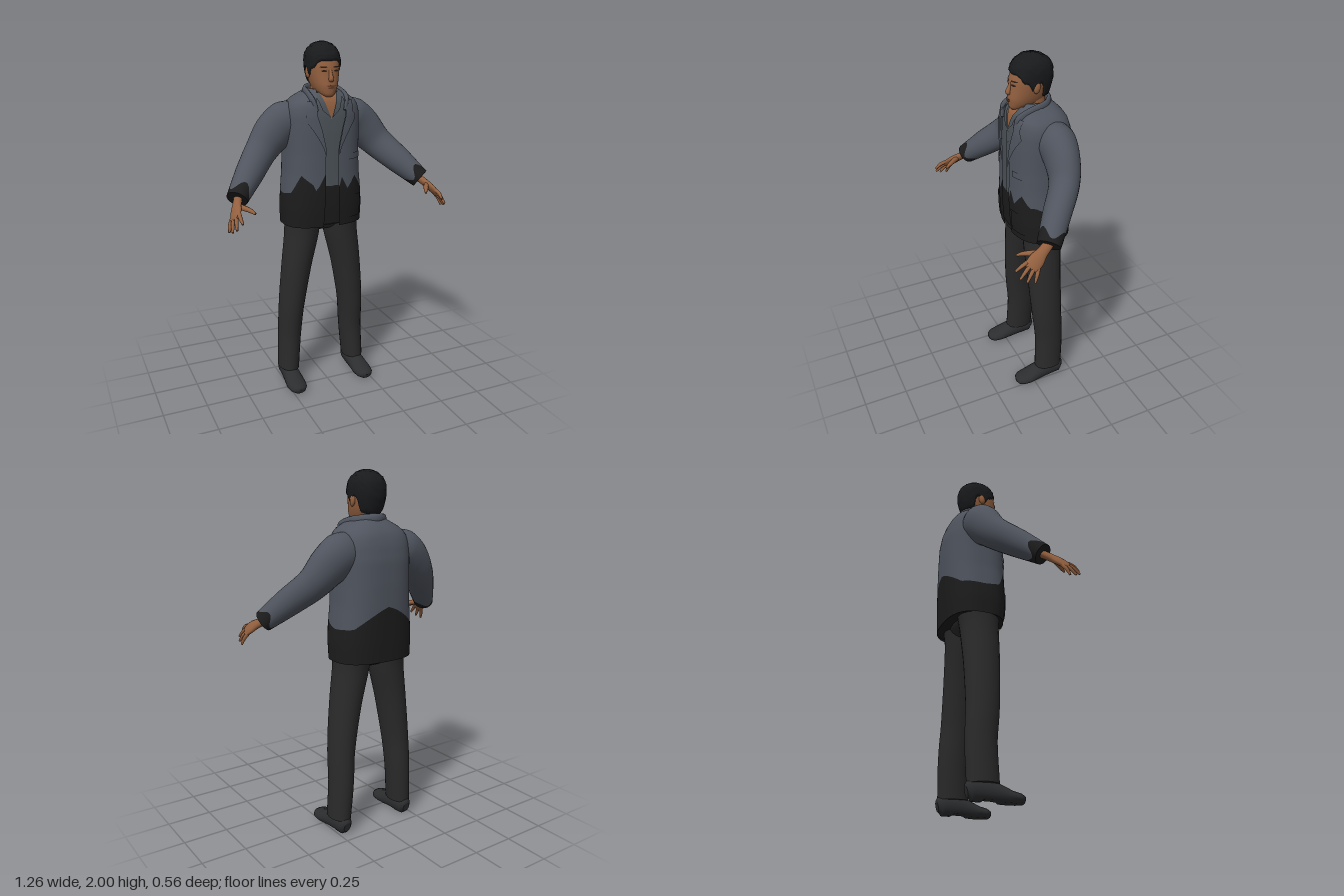
import * as THREE from 'three';

const mat = (name, color, side = THREE.FrontSide) => {
  const m = new THREE.MeshStandardMaterial({ color, side });
  m.name = name;
  return m;
};
const V = (x, y, z) => new THREE.Vector3(x, y, z);

// Piecewise linear lookup in rows [key, value, value...]
function at(rows, k) {
  if (k <= rows[0][0]) return rows[0].slice(1);
  for (let i = 1; i < rows.length; i++) {
    if (k <= rows[i][0]) {
      const t = (k - rows[i - 1][0]) / (rows[i][0] - rows[i - 1][0]);
      return rows[i].slice(1).map((b, c) => THREE.MathUtils.lerp(rows[i - 1][c + 1], b, t));
    }
  }
  return rows[rows.length - 1].slice(1);
}

// Surface through fn(u, row); columns run around, rows run along
function grid(fn, nu, rows, closed) {
  const pos = [], idx = [], n = closed ? nu : nu + 1;
  for (let j = 0; j < rows; j++) for (let i = 0; i < n; i++) pos.push(...fn(i / nu, j).toArray());
  for (let j = 0; j < rows - 1; j++) for (let i = 0; i < nu; i++) {
    const a = j * n + i, b = j * n + (i + 1) % n;
    idx.push(a, b, a + n, b, b + n, a + n);
  }
  const g = new THREE.BufferGeometry();
  g.setAttribute('position', new THREE.Float32BufferAttribute(pos, 3));
  g.setIndex(idx);
  g.computeVertexNormals();
  return g;
}

// Limb along points [x, y, z, r1, r2]; r1 lies along the wide axis
function tube(pts, wide, { nu = 16, nv = 16, v0 = () => 0, v1 = () => 1, start = true, end = true } = {}) {
  const curve = new THREE.CatmullRomCurve3(pts.map(p => V(p[0], p[1], p[2])));
  const radii = pts.map((p, i) => [i / (pts.length - 1), p[3], p[4]]);
  const list = [];
  if (start) list.push([0, 0], [0, 1]);
  for (let j = 0; j <= nv; j++) list.push([j / nv, 1]);
  if (end) list.push([1, 1], [1, 0]);
  return grid((u, j) => {
    const t = THREE.MathUtils.lerp(v0(u), v1(u), list[j][0]), k = list[j][1];
    const T = curve.getTangent(t), n1 = wide.clone().addScaledVector(T, -wide.dot(T)).normalize();
    const n2 = T.clone().cross(n1), [r1, r2] = at(radii, t), a = u * Math.PI * 2;
    return curve.getPoint(t).addScaledVector(n1, k * r1 * Math.cos(a)).addScaledVector(n2, k * r2 * Math.sin(a));
  }, nu, list.length, true);
}

function mirrored(g) {
  const m = g.clone().scale(-1, 1, 1), ix = m.index.array;
  for (let i = 0; i < ix.length; i += 3) [ix[i], ix[i + 1]] = [ix[i + 1], ix[i]];
  m.computeVertexNormals();
  return m;
}

// Body sections: height, half width, front z, back z
const TORSO = [[1.0, .232, .058, -.27], [1.1, .234, .068, -.275], [1.2, .226, .072, -.278], [1.3, .216, .07, -.28],
  [1.42, .212, .069, -.28], [1.54, .214, .068, -.276], [1.62, .212, .064, -.262], [1.67, .2, .056, -.245],
  [1.7, .175, .047, -.225], [1.73, .12, .025, -.195], [1.755, .075, -.01, -.165]];
const HEAD = [[1.713, .004, .02, -.01], [1.718, .024, .038, -.03], [1.73, .042, .046, -.085], [1.75, .057, .049, -.125],
  [1.775, .067, .052, -.148], [1.8, .074, .049, -.162], [1.835, .081, .044, -.172], [1.87, .085, .042, -.178],
  [1.9, .085, .034, -.178], [1.93, .081, .024, -.172], [1.955, .069, .006, -.155], [1.975, .047, -.022, -.125],
  [1.985, .022, -.05, -.095], [1.988, .001, -.07, -.072]];
const spow = (v, p) => Math.sign(v) * Math.abs(v) ** p;
function section(table, n, th, y) {
  const [a, f, b] = at(table, y);
  return V(a * spow(Math.sin(th), 2 / n), y, (f + b) / 2 + (f - b) / 2 * spow(Math.cos(th), 2 / n));
}
// Thin panel lying on the front of a body section
function panel(table, n, lo, hi, xl, xr, off, nu = 8, nv = 12) {
  return grid((u, j) => {
    const y = THREE.MathUtils.lerp(lo, hi, j / nv), x = THREE.MathUtils.lerp(xl(y), xr(y), u);
    const [a, f, b] = at(table, y), r = Math.min(1, Math.abs(x / a));
    return V(x, y, (f + b) / 2 + (f - b) / 2 * (1 - r ** n) ** (1 / n) + off);
  }, nu, nv + 1, false);
}

export function createModel() {
  const root = new THREE.Group();
  root.name = 'standingMan';
  const D = THREE.DoubleSide;
  const grey = mat('jacket grey', 0x4f545e, D), black = mat('jacket black', 0x1c1c1d, D);
  const shirt = mat('shirt grey', 0x4c5359, D), trouser = mat('trouser charcoal', 0x2a2a2b);
  const shoe = mat('shoe charcoal', 0x2c2d2f), skin = mat('skin', 0x93603f, D);
  const hairMat = mat('hair black', 0x191a1c, D), dark = mat('eye brown', 0x2a1b14, D), lip = mat('lip brown', 0x6b3d2d, D);
  const add = (name, g, m) => {
    const o = new THREE.Mesh(g, m);
    o.name = name;
    root.add(o);
    return o;
  };
  const pair = (name, g, m) => {
    add('left' + name, g, m);
    add('right' + name, mirrored(g), m);
  };

  // Open jacket, split along a jagged colour line
  const N = 2.6, gap = [[1, .046], [1.24, .038], [1.45, .038], [1.55, .06], [1.63, .085], [1.7, .08], [1.755, .055]];
  const th0 = y => Math.asin(Math.min(1, (at(gap, y)[0] / at(TORSO, y)[0]) ** (N / 2)));
  const jagL = [[.03, 1.21], [.06, 1.29], [.1, 1.21], [.2, 1.28], [.29, 1.22], [.36, 1.22], [.5, 1.18], [.72, 1.19], [1, 1.3]];
  const jagR = [[.03, 1.31], [.1, 1.21], [.13, 1.25], [.25, 1.3], [.36, 1.2], [.5, 1.18], [.72, 1.19], [1, 1.3]];
  const jag = u => {
    const t = th0(1.25), s = (t + (2 * Math.PI - 2 * t) * u) / Math.PI;
    return at(s < 1 ? jagL : jagR, s < 1 ? s : 2 - s)[0];
  };
  const jacket = (lo, hi, nv) => grid((u, j) => {
    const y = THREE.MathUtils.lerp(lo(u), hi(u), j / nv), t = th0(y);
    return section(TORSO, N, t + (2 * Math.PI - 2 * t) * u, y);
  }, 80, nv + 1, false);
  add('jacketUpper', jacket(jag, () => 1.755, 24), grey);
  add('jacketLower', jacket(() => 1, jag, 8), black);
  add('jacketLining', grid((u, j) => {
    const p = section(TORSO, N, u * Math.PI * 2, 1.012);
    return j ? p.setX(p.x * .99) : V(0, 1.012, -.1);
  }, 40, 2, true), black);

  // Lapels, pocket flaps and rolled collar
  const edge = y => at(gap, y)[0];
  const lapel = [[1.4, 0], [1.5, .03], [1.6, .07], [1.63, .055], [1.635, .045], [1.69, .05]];
  pair('Lapel', panel(TORSO, N, 1.4, 1.7, edge, y => edge(y) + at(lapel, y)[0], .008, 6, 24), grey);
  pair('ChestPocketFlap', panel(TORSO, N, 1.375, 1.41, () => .08, () => .185, .006, 8, 2), grey);
  pair('HipPocket', panel(TORSO, N, 1.04, 1.17, () => .07, () => .19, .006, 8, 4), black);
  add('jacketCollar', tube([[.085, 1.645, .05, .014, .01], [.1, 1.7, .03, .025, .012], [.1, 1.728, -.035, .026, .013],
    [.08, 1.745, -.125, .026, .013], [0, 1.752, -.172, .026, .013], [-.08, 1.745, -.125, .026, .013],
    [-.1, 1.728, -.035, .026, .013], [-.1, 1.7, .03, .025, .012], [-.085, 1.645, .05, .014, .01]],
  V(0, 1, .1), { nu: 10, nv: 40 }), grey);

  // Shirt with open neck, collar points and button strip
  const k = c => () => c;
  add('shirtLower', panel(TORSO, N, 1.012, 1.235, k(-.12), k(.12), -.014), black);
  add('shirtUpper', panel(TORSO, N, 1.235, 1.74, k(-.115), k(.115), -.014, 14, 24), shirt);
  add('buttonStrip', panel(TORSO, N, 1.235, 1.6, k(-.012), k(.012), -.009, 2), shirt);
  const vee = y => Math.max(0, (y - 1.6) * .36);
  add('openNeck', panel(TORSO, N, 1.6, 1.75, y => -vee(y), vee, -.01), skin);
  pair('ShirtCollar', panel(TORSO, N, 1.61, 1.74, vee, y => vee(y) + Math.min(.032, (y - 1.61) * .8), -.004), shirt);

  // Sleeves with jagged dark cuffs
  const sleeve = [[.1, 1.6, -.11, .085, .09], [.2, 1.575, -.125, .115, .1], [.275, 1.515, -.12, .11, .088],
    [.35, 1.432, -.095, .09, .077], [.455, 1.325, 0, .076, .072], [.548, 1.228, .088, .056, .062]];
  const cuff = u => .94 + .035 * Math.sin(u * Math.PI * 6 + 1);
  const across = V(.77, .63, 0);
  pair('Sleeve', tube(sleeve, across, { nu: 28, nv: 28, v1: cuff, end: false }), grey);
  pair('Cuff', tube(sleeve, across, { nu: 28, nv: 3, v0: cuff, start: false }), black);

  // Hands
  const wide = V(.05, -.065, -.095).normalize();
  pair('Palm', tube([[.54, 1.235, .08, .026, .021], [.562, 1.208, .13, .03, .02], [.578, 1.187, .165, .041, .018],
    [.592, 1.163, .2, .041, .013], [.597, 1.155, .21, .03, .007]], wide, { nu: 14, nv: 12 }), skin);
  const tips = [['IndexFinger', -.033, .577, 1.15, .28], ['MiddleFinger', -.011, .605, 1.118, .268],
    ['RingFinger', .011, .62, 1.1, .238], ['LittleFinger', .032, .626, 1.09, .198]];
  for (const [name, s, x, y, z] of tips) {
    const b = V(.589, 1.168, .193).addScaledVector(wide, s), m = b.clone().lerp(V(x, y, z), .5);
    pair(name, tube([[b.x, b.y, b.z, .011, .011], [m.x + .003, m.y + .005, m.z, .0105, .0105],
      [x, y, z, .006, .006]], wide, { nu: 8, nv: 6 }), skin);
  }
  pair('Thumb', tube([[.562, 1.207, .14, .016, .016], [.53, 1.2, .185, .014, .014], [.511, 1.193, .215, .011, .011],
    [.498, 1.183, .238, .006, .006]], wide, { nu: 8, nv: 9 }), skin);

  // Trousers
  pair('TrouserLeg', tube([[.112, 1.05, -.1, .103, .12], [.12, .95, -.096, .1, .109], [.155, .75, -.095, .086, .1],
    [.19, .48, -.102, .073, .09], [.2, .3, -.114, .067, .085], [.213, .085, -.108, .061, .085]],
  V(1, 0, 0), { nu: 22, nv: 25 }), trouser);
  add('trouserSeat', new THREE.SphereGeometry(1, 28, 16).scale(.19, .09, .112).translate(0, 1.035, -.098), trouser);

  // Shoes, flattened at the ground
  const shoeGeo = tube([[.213, .045, -.195, .022, .03], [.213, .05, -.175, .042, .054], [.213, .052, -.1, .048, .06],
    [.215, .042, -.03, .053, .05], [.217, .03, .03, .058, .036], [.217, .026, .075, .052, .03],
    [.217, .022, .1, .034, .022], [.217, .02, .109, .012, .012]], V(1, 0, 0), { nu: 20, nv: 28 });
  const sp = shoeGeo.attributes.position;
  for (let i = 0; i < sp.count; i++) sp.setY(i, Math.max(sp.getY(i), Math.abs(sp.getZ(i) + .07) < .035 ? .012 : .001));
  shoeGeo.computeVertexNormals();
  pair('Shoe', shoeGeo, shoe);

  // Neck and head
  add('neck', tube([[0, 1.64, -.095, .075, .08], [0, 1.7, -.088, .062, .07], [0, 1.78, -.08, .058, .068]],
    V(1, 0, 0), { nu: 20, nv: 8 }), skin);
  const HN = 2.25;
  add('head', grid((u, j) => section(HEAD, HN, u * Math.PI * 2, 1.713 + .275 * (1 - Math.cos(j / 32 * Math.PI)) / 2), 36, 33, true), skin);
  add('nose', tube([[0, 1.865, .036, .008, .006], [0, 1.835, .046, .01, .01], [0, 1.812, .053, .015, .014],
    [0, 1.8, .048, .012, .01]], V(1, 0, 0), { nu: 12, nv: 12 }), skin);
  pair('Ear', new THREE.SphereGeometry(1, 12, 10).scale(.012, .031, .019).rotateX(-.2).translate(.085, 1.842, -.068), skin);
  const oval = (cx, cy, w, h, off, tilt = 0) => {
    const half = y => w * Math.sqrt(Math.max(0, 1 - ((y - cy) / h) ** 2));
    return panel(HEAD, HN, cy - h, cy + h, y => cx - half(y), y => cx + half(y), off, 8, 8).translate(0, tilt, 0);
  };
  pair('Eye', oval(.034, 1.853, .014, .0055, .003), dark);
  pair('Eyebrow', oval(.036, 1.873, .02, .004, .003), dark);
  add('upperLip', oval(0, 1.776, .024, .005, .005), lip);
  add('lowerLip', oval(0, 1.766, .019, .005, .005), lip);

  // Short textured hair following the skull
  const hairline = [[0, 1.903], [.14, 1.905], [.24, 1.893], [.31, 1.868], [.4, 1.862], [.46, 1.825], [.5, 1.825],
    [.54, 1.868], [.6, 1.85], [.66, 1.785], [1, 1.762]];
  let seed = 7;
  const rnd = () => (seed = (seed * 16807) % 2147483647) / 2147483647;
  const c = V(0, 1.86, -.07);
  add('hair', grid((u, j) => {
    const v = j / 24, lo = at(hairline, 1 - Math.abs(1 - 2 * u))[0];
    const y = THREE.MathUtils.lerp(lo, 1.988, Math.sin(v * Math.PI / 2));
    const p = section(HEAD, HN, u * Math.PI * 2, y).sub(c);
    const grow = j === 0 ? 1.01 : 1.085 + .02 * Math.min(1, v * 3) + (j < 23 ? (rnd() - .5) * .035 : 0);
    return p.multiplyScalar(grow).add(c);
  }, 56, 25, true), hairMat);

  return root;
}
